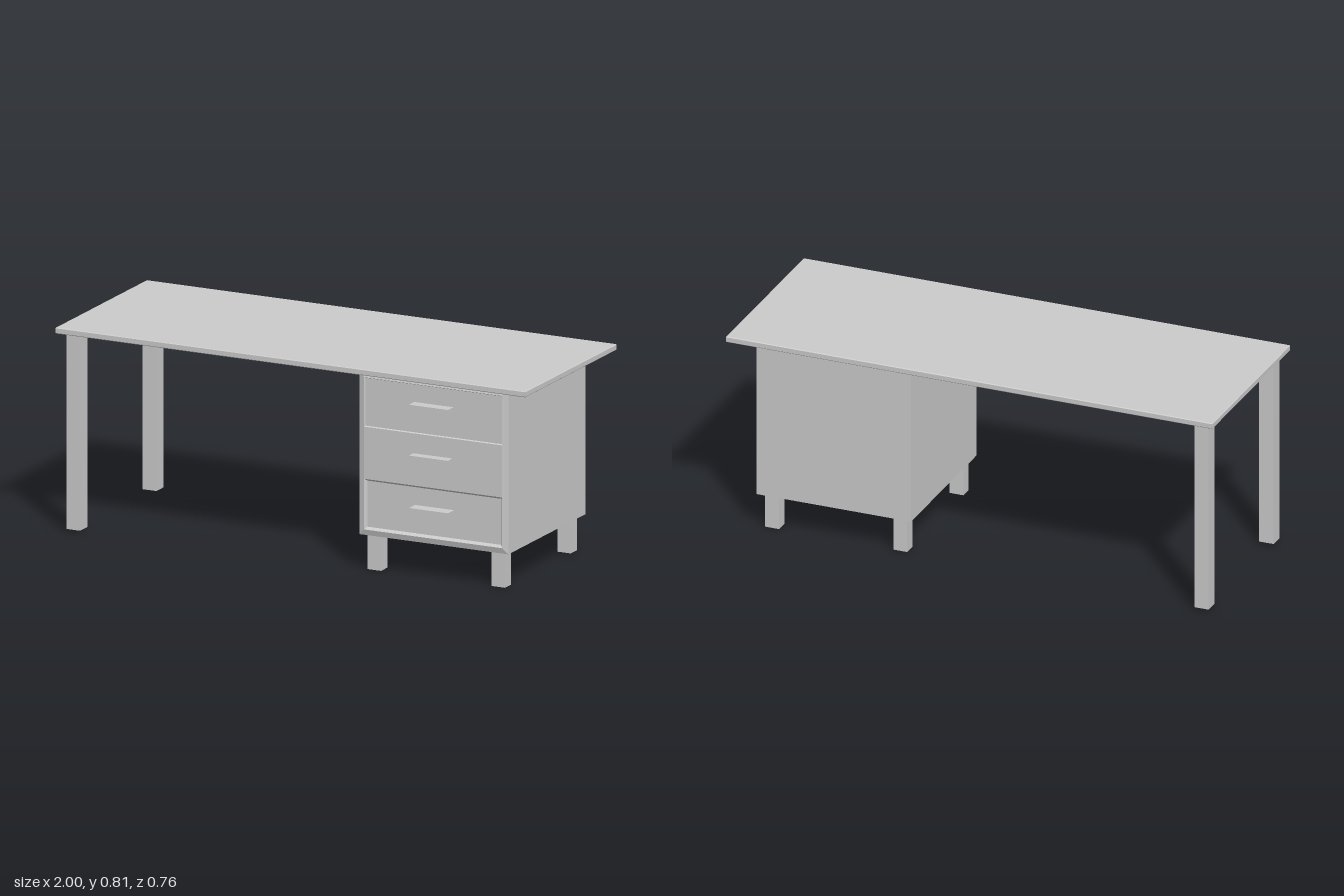
import * as THREE from 'three';

const material = new THREE.MeshStandardMaterial({ color: 0xcccccc });

function add(parent, name, geometry) {
  const mesh = new THREE.Mesh(geometry, material);
  mesh.name = name;
  parent.add(mesh);
  return mesh;
}

// Box given by its extents on each axis.
function box(parent, name, [x0, x1], [y0, y1], [z0, z1]) {
  const mesh = add(parent, name, new THREE.BoxGeometry(x1 - x0, y1 - y0, z1 - z0));
  mesh.position.set((x0 + x1) / 2, (y0 + y1) / 2, (z0 + z1) / 2);
  return mesh;
}

// Rectangle x0..x1, y0..y1 shrunk by an inset and placed at depth z.
const rect = (x0, x1, y0, y1, inset, z) => [
  [x0 + inset, y0 + inset, z], [x1 - inset, y0 + inset, z],
  [x1 - inset, y1 - inset, z], [x0 + inset, y1 - inset, z],
];

// Faceted skin through a series of rectangles, with optional end faces.
function loft(rings, back, front) {
  const points = [];
  const quad = (a, b, c, d) => points.push(...a, ...b, ...c, ...a, ...c, ...d);
  for (let i = 0; i + 1 < rings.length; i++) {
    for (let k = 0; k < 4; k++) {
      const n = (k + 1) % 4;
      quad(rings[i][k], rings[i][n], rings[i + 1][n], rings[i + 1][k]);
    }
  }
  if (back) quad(...[...rings[0]].reverse());
  if (front) quad(...rings[rings.length - 1]);
  const geometry = new THREE.BufferGeometry();
  geometry.setAttribute('position', new THREE.Float32BufferAttribute(points, 3));
  geometry.computeVertexNormals();
  return geometry;
}

export function createModel() {
  const desk = new THREE.Group();
  desk.name = 'desk';

  // Tabletop with finely chamfered edges
  const slab = (inset, y) => rect(-1, 1, -0.38, 0.38, inset, y);
  const top = loft([slab(0.003, 0.783), slab(0, 0.786), slab(0, 0.804), slab(0.003, 0.807)], true, true);
  top.rotateX(-Math.PI / 2);
  add(desk, 'tabletop', top);

  // Long legs at the open end
  box(desk, 'frontLeg', [-0.972, -0.913], [0.01, 0.785], [0.284, 0.343]);
  box(desk, 'backLeg', [-0.972, -0.913], [0.01, 0.785], [-0.35, -0.291]);

  // Drawer cabinet: the front frame slopes forward to the drawer area
  const cabinet = new THREE.Group();
  cabinet.name = 'drawerCabinet';
  desk.add(cabinet);
  const shell = (inset, z) => rect(0.264, 0.898, 0.14, 0.784, inset, z);
  add(cabinet, 'cabinetBody', loft([shell(0, -0.32), shell(0, 0.322), shell(0.023, 0.329)], true, false));

  // Drawer fronts: y range, rim width and recess depth
  const drawers = [
    { y0: 0.163, y1: 0.362, rim: 0.018, depth: 0.012, handle: 0.283 },
    { y0: 0.362, y1: 0.567, rim: 0, depth: 0, handle: 0.489 },
    { y0: 0.567, y1: 0.761, rim: 0.006, depth: 0.006, handle: 0.689 },
  ];
  for (const { y0, y1, rim, depth, handle } of drawers) {
    const drawer = new THREE.Group();
    drawer.name = 'drawer';
    cabinet.add(drawer);
    const panel = (inset, z) => rect(0.287, 0.875, y0, y1, inset, z);
    const rings = rim ? [panel(0, 0.329), panel(rim * 0.5, 0.329 - depth), panel(rim, 0.329 - depth)] : [panel(0, 0.329)];
    add(drawer, 'drawerFront', loft(rings, false, true));

    // Hooked pull: a shelf with a lip turned down
    const profile = new THREE.Shape([
      [0.31, 0], [0.367, 0], [0.367, -0.036], [0.355, -0.036], [0.355, -0.013], [0.31, -0.013],
    ].map(([z, y]) => new THREE.Vector2(-z, y)));
    const pull = new THREE.ExtrudeGeometry(profile, { depth: 0.166, bevelEnabled: false });
    pull.rotateY(Math.PI / 2);
    add(drawer, 'drawerHandle', pull).position.set(0.498, handle, 0);
  }

  // Short cabinet feet
  for (const x of [0.288, 0.815]) {
    for (const z of [-0.3, 0.248]) {
      box(cabinet, 'cabinetFoot', [x, x + 0.057], [0, 0.142], [z, z + 0.052]);
    }
  }
  return desk;
}
